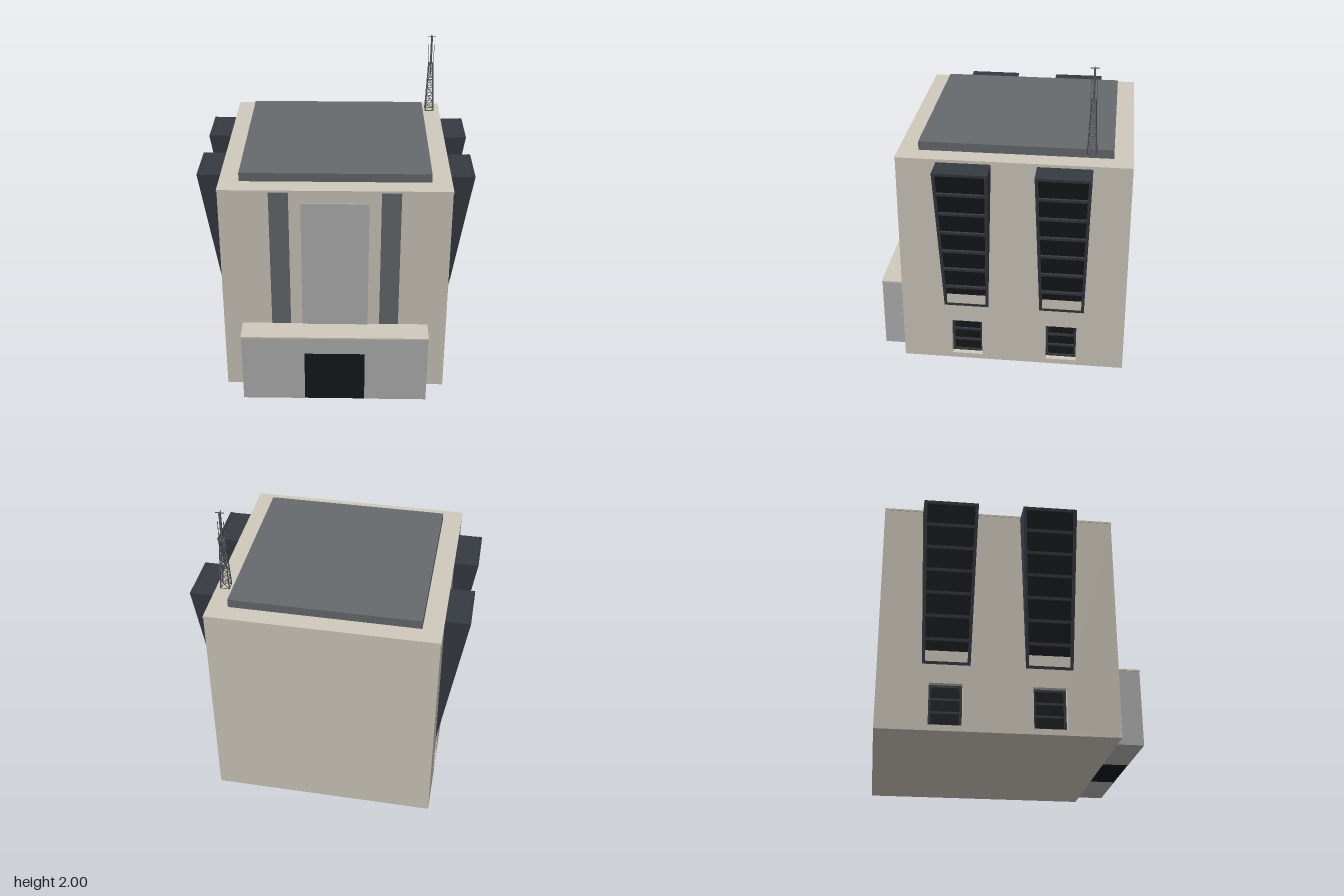
import * as THREE from 'three';
import { ConvexGeometry } from 'three/addons/geometries/ConvexGeometry.js';

const mat = (color) => new THREE.MeshStandardMaterial({ color });
const tan = mat(0xcfc9bd), grey = mat(0xb2b2b2), slate = mat(0x666a6e);
const frameMat = mat(0x363a41), glassMat = mat(0x16181a), steel = mat(0x55585b);

const W = 0.705, H = 1.41, Z0 = -0.785, Z1 = 0.625; // main block
const BAYS = [0.215, -0.388];                       // z centres of the side bays
const SILL = 0.035, HEAD = 0.285, HALF = 0.097;     // small window opening

function add(parent, name, geometry, material) {
  const mesh = new THREE.Mesh(geometry, material);
  mesh.name = name;
  parent.add(mesh);
  return mesh;
}

// Box given by its lower and upper limits
function block(parent, name, x0, x1, y0, y1, z0, z1, material) {
  const mesh = add(parent, name, new THREE.BoxGeometry(x1 - x0, y1 - y0, z1 - z0), material);
  mesh.position.set((x0 + x1) / 2, (y0 + y1) / 2, (z0 + z1) / 2);
  return mesh;
}

// Thin square bar between two points
function bar(parent, name, a, b, thick, material) {
  const mesh = add(parent, name, new THREE.BoxGeometry(thick, thick, a.distanceTo(b)), material);
  mesh.position.copy(a).add(b).multiplyScalar(0.5);
  mesh.lookAt(b);
  return mesh;
}

const polygon = (pts, Type = THREE.Shape) => new Type(pts.map(([x, y]) => new THREE.Vector2(x, y)));
const extrude = (shape, depth) => new THREE.ExtrudeGeometry(shape, { depth, bevelEnabled: false });

// Frame with a column of panes; half(t) is the half width at height t
function paneFrame(length, count, half, border, depth) {
  const shape = polygon([[-half(0), 0], [half(0), 0], [half(length), length], [-half(length), length]]);
  const step = (length - border) / count;
  for (let i = 0; i < count; i++) {
    const a = border + i * step, b = (i + 1) * step;
    const p = half(a) - border, q = half(b) - border;
    shape.holes.push(polygon([[-p, a], [-q, b], [q, b], [p, a]], THREE.Path));
  }
  return extrude(shape, depth);
}

// Side wall with openings for the small windows
function sideWall(parent, side) {
  const shape = polygon([[-Z1, 0], [-Z0, 0], [-Z0, H], [-Z1, H]]);
  for (const z of BAYS) {
    shape.holes.push(polygon([[-z - HALF, SILL], [-z - HALF, HEAD], [-z + HALF, HEAD], [-z + HALF, SILL]], THREE.Path));
  }
  const wall = add(parent, 'sideWall', extrude(shape, 0.06), tan);
  wall.rotation.y = Math.PI / 2;
  wall.position.x = side > 0 ? W - 0.06 : -W;
}

// Leaning bay window above and recessed window below, built facing +x
function sideBay() {
  const bay = new THREE.Group();
  bay.name = 'sideBay';
  const y0 = 0.4, y1 = 1.4, run = 0.155, rise = y1 - y0;
  const length = Math.hypot(run, rise), s = run / length, c = rise / length;
  const halfAt = (t) => 0.14 + (0.025 * t) / length;

  // Solid wedge behind the leaning glazing
  const pts = [];
  for (const [y, x, h] of [[y0, W, 0.14], [y1, W + run, 0.165]]) {
    for (const z of [-h, h]) {
      pts.push(new THREE.Vector3(W - 0.05, y, z), new THREE.Vector3(x - 0.017, y, z));
    }
  }
  add(bay, 'bayCasing', new ConvexGeometry(pts), frameMat);

  const slope = new THREE.Group();
  slope.name = 'leaningWindow';
  slope.applyMatrix4(new THREE.Matrix4().makeBasis(
    new THREE.Vector3(0, 0, -1), new THREE.Vector3(s, c, 0), new THREE.Vector3(c, -s, 0)
  ).setPosition(W, y0, 0));
  bay.add(slope);
  add(slope, 'bayFrame', paneFrame(length, 7, halfAt, 0.018, 0.018), frameMat).position.z = -0.018;
  const a = 0.13, b = 0.155;
  add(slope, 'bayGlass', new THREE.ShapeGeometry(
    polygon([[-a, 0.01], [a, 0.01], [b, length - 0.01], [-b, length - 0.01]])), glassMat).position.z = -0.013;

  // Small recessed window
  const small = add(bay, 'smallWindowFrame', paneFrame(HEAD - SILL, 3, () => HALF, 0.014, 0.015), frameMat);
  small.rotation.y = Math.PI / 2;
  small.position.set(W - 0.05, SILL, 0);
  block(bay, 'smallWindowGlass', W - 0.06, W - 0.044, SILL, HEAD, -HALF + 0.005, HALF - 0.005, glassMat);
  return bay;
}

// Lattice mast with rods and a cross at the top
function mast() {
  const g = new THREE.Group();
  g.name = 'antennaMast';
  const base = 1.475, neck = 1.81, top = 2, levels = 6;
  const corner = (k, i) => {
    const f = k / levels, r = 0.027 + (0.013 - 0.027) * f, ang = Math.PI / 4 + (i * Math.PI) / 2;
    return new THREE.Vector3(Math.SQRT2 * r * Math.cos(ang), base + (neck - base) * f, Math.SQRT2 * r * Math.sin(ang));
  };
  for (let i = 0; i < 4; i++) {
    bar(g, 'mastLeg', corner(0, i), corner(levels, i), 0.005, steel);
    for (let k = 0; k <= levels; k++) {
      bar(g, 'mastRing', corner(k, i), corner(k, i + 1), 0.003, steel);
      if (k === levels) continue;
      bar(g, 'mastBrace', corner(k, i), corner(k + 1, i + 1), 0.0025, steel);
      bar(g, 'mastBrace', corner(k, i + 1), corner(k + 1, i), 0.0025, steel);
    }
  }
  block(g, 'mastPole', -0.006, 0.006, neck - 0.01, top, -0.006, 0.006, steel);
  for (const [x, z] of [[1, 0], [-1, 0], [0, 1], [0, -1]]) {
    const rod = block(g, 'mastRod', -0.0015, 0.0015, 1.72, 1.94, -0.0015, 0.0015, steel);
    rod.position.x = x * 0.018;
    rod.position.z = z * 0.018;
  }
  block(g, 'mastCross', -0.027, 0.027, top - 0.004, top, -0.002, 0.002, steel);
  block(g, 'mastCross', -0.002, 0.002, top - 0.004, top, -0.027, 0.027, steel);
  block(g, 'mastPlatform', -0.017, 0.017, neck - 0.003, neck + 0.003, -0.017, 0.017, steel);
  g.position.set(0.628, 0, -0.538);
  return g;
}

export function createModel() {
  const model = new THREE.Group();
  model.name = 'building';

  // Main block and roof
  block(model, 'mainBlock', -W + 0.06, W - 0.06, 0, H, Z0, Z1, tan);
  block(model, 'roofEdge', -W - 0.003, W + 0.003, 1.408, 1.42, Z0, Z1 + 0.003, tan);
  block(model, 'roofSlab', -0.585, 0.585, 1.42, 1.475, -0.67, 0.505, slate);

  // Front strips and centre panel
  for (const side of [-1, 1]) {
    const strip = block(model, 'frontStrip', -0.06, 0.06, 0.46, 1.405, Z1 - 0.01, Z1 + 0.002, slate);
    strip.position.x = side * 0.34;
  }
  block(model, 'frontPanel', -0.207, 0.207, 0.46, 1.335, Z1 - 0.01, Z1 + 0.007, grey);

  // Entrance block with doorway
  const porch = polygon([[-0.585, 0], [-0.19, 0], [-0.19, 0.35], [0.19, 0.35], [0.19, 0], [0.585, 0], [0.585, 0.466], [-0.585, 0.466]]);
  add(model, 'entranceBlock', extrude(porch, 0.157), grey).position.z = Z1;
  block(model, 'entranceCap', -0.588, 0.588, 0.464, 0.474, Z1, 0.785, tan);
  block(model, 'door', -0.19, 0.19, 0, 0.35, Z1, 0.78, glassMat);

  // Side walls and bays
  for (const side of [-1, 1]) {
    sideWall(model, side);
    for (const z of BAYS) {
      const bay = sideBay();
      bay.position.z = z;
      if (side < 0) bay.rotation.y = Math.PI;
      model.add(bay);
    }
  }

  model.add(mast());
  return model;
}
